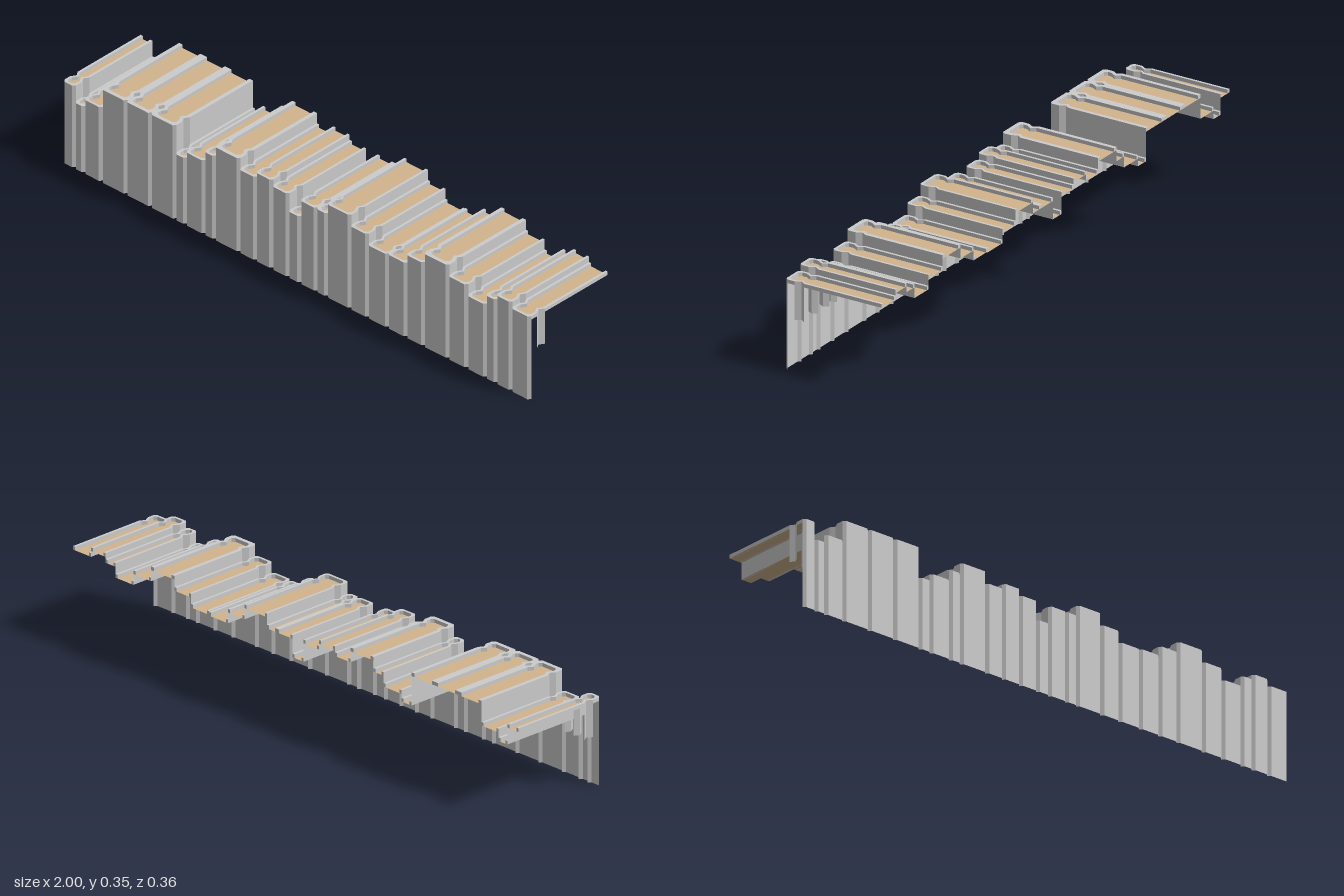
import * as THREE from 'three';

const grey = new THREE.MeshStandardMaterial({ color: 0xcccccc, flatShading: true, side: THREE.DoubleSide });
const tan = new THREE.MeshStandardMaterial({ color: 0xd2b48c, flatShading: true, side: THREE.DoubleSide });

const CURB = 0.0125, FRONT = 0.18, BACK = -0.18, CHAMFER = 0.009, NOTCH = 0.011, POST_FOOT = 0.178;

// boundaries between the row's units, and the height of each unit
const edges = [-1, -0.95, -0.91, -0.835, -0.73, -0.625, -0.52, -0.475, -0.395, -0.35, -0.245, -0.175, -0.105, -0.035,
  0.015, 0.085, 0.13, 0.23, 0.305, 0.39, 0.47, 0.545, 0.65, 0.73, 0.81, 0.855, 0.92, 1];
const heights = [0.305, 0.247, 0.276, 0.348, 0.348, 0.348, 0.247, 0.273, 0.31, 0.348, 0.31, 0.33, 0.31, 0.247,
  0.31, 0.31, 0.348, 0.31, 0.273, 0.276, 0.31, 0.348, 0.31, 0.273, 0.31, 0.33, 0.31];

// plan of a unit as [x, z]: up one notched side, across the front, down the other
function plan(x0, x1, inset) {
  const a = x0 + inset, b = x1 - inset, f = FRONT - inset;
  const side = [[0, BACK], [0, 0.109], [NOTCH, 0.126], [0, 0.145], [0, f - CHAMFER], [CHAMFER, f]];
  return [...side.map(([d, z]) => [a + d, z]), ...side.map(([d, z]) => [b - d, z]).reverse()];
}

// upright wall following a plan path
function wall(path, y0, y1) {
  const pos = [], index = [];
  path.forEach(([x, z], i) => {
    pos.push(x, y0, z, x, y1, z);
    if (i) { const k = 2 * i; index.push(k - 2, k, k - 1, k - 1, k, k + 1); }
  });
  const g = new THREE.BufferGeometry();
  g.setAttribute('position', new THREE.Float32BufferAttribute(pos, 3));
  g.setIndex(index);
  g.computeVertexNormals();
  return g;
}

const shapeOf = path => new THREE.Shape(path.map(([x, z]) => new THREE.Vector2(x, -z)));

function addMesh(group, name, geometry, material) {
  const mesh = new THREE.Mesh(geometry, material);
  mesh.name = name;
  group.add(mesh);
}

function buildUnit(i) {
  const unit = new THREE.Group();
  unit.name = 'rowUnit' + (i + 1);
  const x0 = edges[i], x1 = edges[i + 1], h = heights[i], roofY = h - CURB;
  const outer = plan(x0, x1, 0);
  const inner = plan(x0, x1, x1 - x0 > 0.1 ? 0.014 : 0.009);

  // front wall with chamfered corners, down to the ground
  addMesh(unit, 'facade', wall(outer.slice(4, 8), 0, h), grey);

  // flat roof
  const roof = new THREE.ShapeGeometry(shapeOf(outer));
  roof.rotateX(-Math.PI / 2).translate(0, roofY, 0);
  addMesh(unit, 'roof', roof, tan);

  // raised rim on three sides
  const rim = new THREE.ExtrudeGeometry(shapeOf([...outer, ...inner.reverse()]), { depth: CURB, bevelEnabled: false });
  rim.rotateX(-Math.PI / 2).translate(0, roofY, 0);
  addMesh(unit, 'parapet', rim, grey);

  // each side: exposed wall above a lower neighbour, and a folded post below the roof
  [[outer.slice(0, 5), heights[i - 1]], [outer.slice(7), heights[i + 1]]].forEach(([side, next], s) => {
    if (next < h) addMesh(unit, 'sideWall', wall(side, next - CURB, roofY), grey);
    const post = s ? side.slice(1, 4) : side.slice(1, 4);
    addMesh(unit, 'notchPost', wall(post, POST_FOOT, roofY), grey);
  });
  return unit;
}

export function createModel() {
  const model = new THREE.Group();
  model.name = 'buildingRow';
  heights.forEach((_, i) => model.add(buildUnit(i)));
  return model;
}
